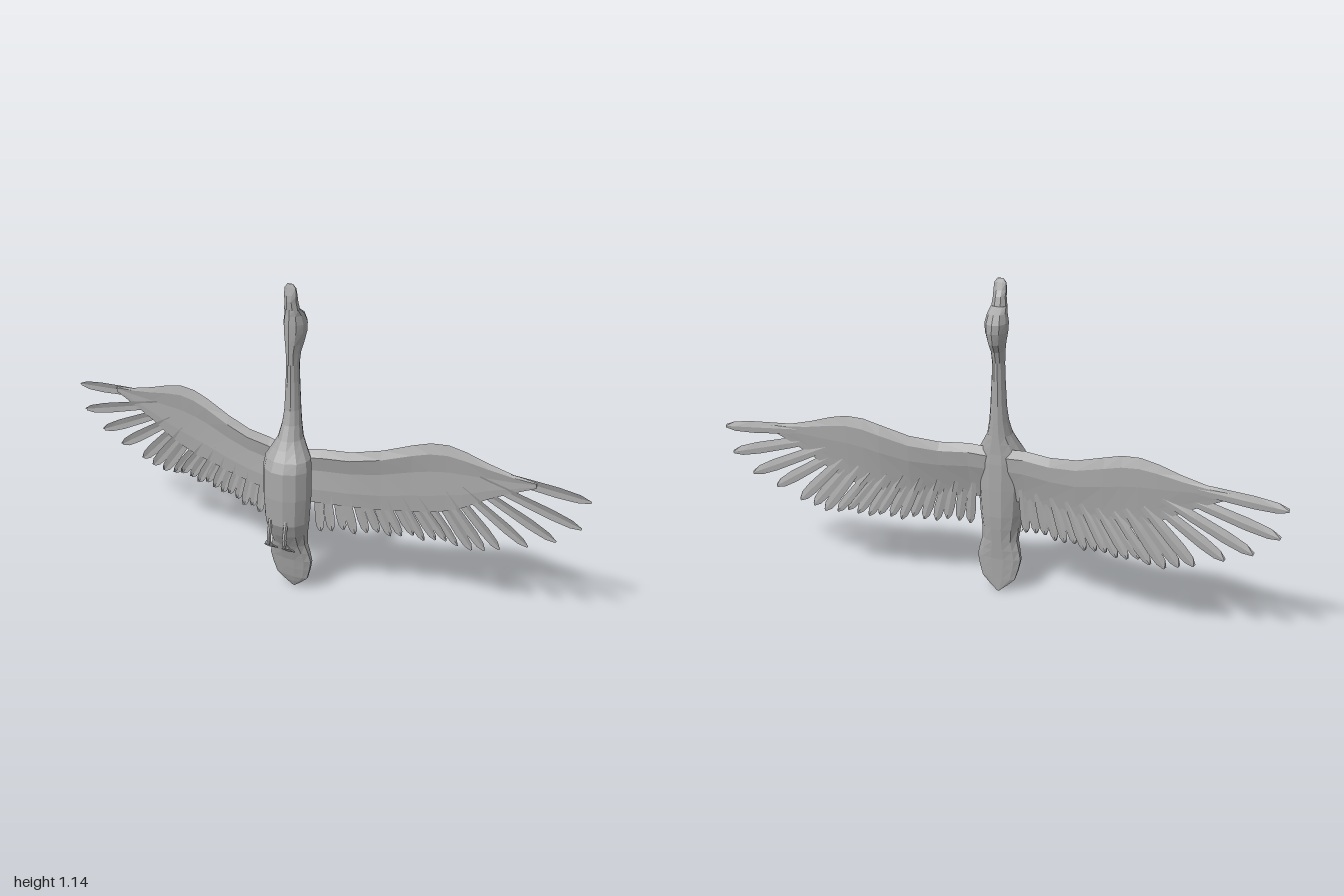
import * as THREE from 'three';

const plumage = new THREE.MeshStandardMaterial({ color: 0xa8a8a8, flatShading: true, side: THREE.DoubleSide });
plumage.name = 'grey plumage';

// Skin a list of equal-length rings; closed rings get end caps.
function loft(rings, closed = true) {
  const n = rings[0].length, pos = rings.flat(2), idx = [];
  for (let i = 0; i < rings.length - 1; i++) {
    for (let j = 0; j < (closed ? n : n - 1); j++) {
      const a = i * n + j, b = i * n + (j + 1) % n;
      idx.push(a, a + n, b, b, a + n, b + n);
    }
  }
  if (closed) {
    const last = (rings.length - 1) * n;
    for (let j = 1; j < n - 1; j++) idx.push(0, j, j + 1, last, last + j + 1, last + j);
  }
  const g = new THREE.BufferGeometry();
  g.setAttribute('position', new THREE.Float32BufferAttribute(pos, 3));
  g.setIndex(idx);
  g.computeVertexNormals();
  return g;
}

function add(parent, geometry, name) {
  const m = new THREE.Mesh(geometry, plumage);
  m.name = name;
  parent.add(m);
  return m;
}

// Linear lookup in a table of [key, value] pairs.
function lookup(table, x) {
  let i = 0;
  while (i < table.length - 2 && x > table[i + 1][0]) i++;
  const [x0, v0] = table[i], [x1, v1] = table[i + 1];
  return v0 + (v1 - v0) * THREE.MathUtils.clamp((x - x0) / (x1 - x0), 0, 1);
}

// Oval cross-sections: [y, half width, front z, back z]
function ovalLoft(rows, sides) {
  return loft(rows.map(([y, w, zf, zb]) => Array.from({ length: sides }, (_, j) => {
    const a = ((j + 0.5) / sides) * Math.PI * 2;
    const k = 1 / Math.cos(Math.PI / sides);
    return [Math.cos(a) * w * k, y, (zf + zb) / 2 + Math.sin(a) * k * (zf - zb) / 2];
  })));
}

const BODY = [
  [0.2, 0.064, 0.064, -0.02], [0.25, 0.068, 0.092, -0.026], [0.3, 0.076, 0.113, -0.03],
  [0.4, 0.083, 0.117, -0.032], [0.5, 0.083, 0.114, -0.032], [0.535, 0.078, 0.1, -0.03],
  [0.57, 0.058, 0.08, -0.03], [0.6, 0.042, 0.065, -0.03], [0.65, 0.032, 0.045, -0.03],
  [0.7, 0.027, 0.034, -0.029], [0.8, 0.022, 0.03, -0.027], [0.86, 0.02, 0.03, -0.026],
];
const HEAD = [
  [0.86, 0.02, 0.03, -0.026], [0.9, 0.022, 0.031, -0.037], [0.93, 0.027, 0.031, -0.055],
  [0.97, 0.035, 0.03, -0.064], [1.0, 0.037, 0.029, -0.062], [1.03, 0.031, 0.027, -0.047],
  [1.05, 0.026, 0.027, -0.014],
];
const BILL = [
  [1.05, 0.025, 0.027, -0.012], [1.08, 0.021, 0.03, -0.005], [1.1, 0.022, 0.029, 0.004],
  [1.125, 0.02, 0.024, 0.012], [1.138, 0.01, 0.021, 0.017],
];
const TAIL = [
  [0, 0.004, -0.003, -0.006], [0.025, 0.034, 0.009, -0.007], [0.05, 0.06, 0.018, -0.008],
  [0.09, 0.072, 0.028, -0.01], [0.13, 0.08, 0.037, -0.012], [0.165, 0.073, 0.049, -0.016],
  [0.2, 0.064, 0.064, -0.02],
];

// Wing planform: leading edge, trailing edge, depth and thickness along the span
const LEAD = [[0.03, 0.55], [0.1, 0.56], [0.2, 0.56], [0.3, 0.578], [0.4, 0.612], [0.46, 0.63],
  [0.52, 0.634], [0.58, 0.622], [0.66, 0.597], [0.74, 0.577], [0.82, 0.565]];
const TRAIL = [[0.03, 0.36], [0.3, 0.355], [0.45, 0.37], [0.52, 0.39], [0.6, 0.425], [0.68, 0.48], [0.82, 0.545]];
const DEPTH = [[0.03, -0.005], [0.1, -0.018], [0.2, -0.043], [0.3, -0.072], [0.4, -0.093],
  [0.5, -0.105], [0.65, -0.112], [1, -0.122]];
const THICK = [[0.03, 1.3], [0.4, 1], [0.6, 0.7], [0.82, 0.15]];
// Section around the wing: [fraction of chord, z offset]
const SECTION = [[0.75, 0.005], [0.4, 0.003], [0.14, 0.012], [0, 0], [0.14, -0.014], [0.4, -0.013], [0.75, -0.004], [1, 0.001]];

// Trailing edge near the body hangs slightly forward
const wingZ = (x, y) => lookup(DEPTH, x) + Math.max(0, 0.5 - y) * 0.09 * Math.max(0, 1 - x / 0.5);

function wingPanel() {
  return loft(LEAD.map(([x, top]) => {
    const bottom = lookup(TRAIL, x), t = lookup(THICK, x);
    return SECTION.map(([f, dz]) => {
      const y = top + (bottom - top) * f;
      return [x, y, wingZ(x, y) + dz * t];
    });
  }));
}

// Ridged thin feather from base to tip
function feather([bx, by], [tx, ty], width, lift) {
  const len = Math.hypot(tx - bx, ty - by), px = -(ty - by) / len, py = (tx - bx) / len;
  const rows = [[0, 0.7], [0.35, 0.9], [0.7, 1], [0.9, 0.8], [1, 0.25]];
  return loft(rows.map(([t, w]) => [-1, 0, 1].map((s) => {
    const x = bx + (tx - bx) * t + px * s * w * width / 2;
    const y = by + (ty - by) * t + py * s * w * width / 2;
    return [x, y, wingZ(x, y) + lift + (s === 0 ? -0.004 : s * 0.003)];
  })), false);
}

function makeWing() {
  const wing = new THREE.Group();
  add(wing, wingPanel(), 'wingPanel');
  // Secondaries hang down and slant outward along the span
  const count = 13;
  for (let i = 0; i < count; i++) {
    const u = i / (count - 1), tipX = 0.105 + u * 0.465;
    const tip = [tipX, 0.25 + 0.016 * u + (i % 3) * 0.006];
    add(wing, feather([0.09 + u * 0.35, 0.43], tip, 0.036, i % 2 ? 0.002 : -0.002), 'secondaryFeather');
  }
  // Primaries fan out to the wing tip
  const primaries = [
    [0.48, 0.45, 0.62, 0.262], [0.51, 0.46, 0.665, 0.275], [0.54, 0.47, 0.715, 0.29],
    [0.57, 0.485, 0.81, 0.328], [0.6, 0.51, 0.9, 0.368], [0.63, 0.535, 0.978, 0.437],
    [0.64, 0.567, 0.997, 0.537],
  ];
  primaries.forEach(([bx, by, tx, ty], i) =>
    add(wing, feather([bx, by], [tx, ty], 0.042, i % 2 ? 0.002 : -0.002), 'primaryFeather'));
  return wing;
}

// Leg tucked along the belly with a folded webbed foot
function makeLeg() {
  const leg = new THREE.Group();
  const path = new THREE.CatmullRomCurve3([
    [0.03, 0.32, 0.105], [0.03, 0.285, 0.114], [0.03, 0.25, 0.12], [0.032, 0.225, 0.115],
  ].map((p) => new THREE.Vector3(...p)));
  add(leg, new THREE.TubeGeometry(path, 6, 0.008, 6), 'shank');
  add(leg, ovalLoft([[0.2, 0.022, 0.094, 0.086], [0.208, 0.023, 0.107, 0.092],
    [0.222, 0.015, 0.119, 0.106], [0.236, 0.007, 0.122, 0.112]], 6).translate(0.034, 0, 0), 'webbedFoot');
  return leg;
}

export function createModel() {
  const bird = new THREE.Group();
  bird.name = 'flyingGoose';
  add(bird, ovalLoft(BODY, 12), 'bodyAndNeck');
  add(bird, ovalLoft(HEAD, 10), 'head');
  add(bird, ovalLoft(BILL, 8), 'bill');
  add(bird, ovalLoft(TAIL, 12), 'tail');
  for (const [side, s] of [['left', 1], ['right', -1]]) {
    const wing = makeWing(), leg = makeLeg();
    wing.name = side + 'Wing';
    leg.name = side + 'Leg';
    wing.scale.x = leg.scale.x = s;
    bird.add(wing, leg);
  }
  return bird;
}
